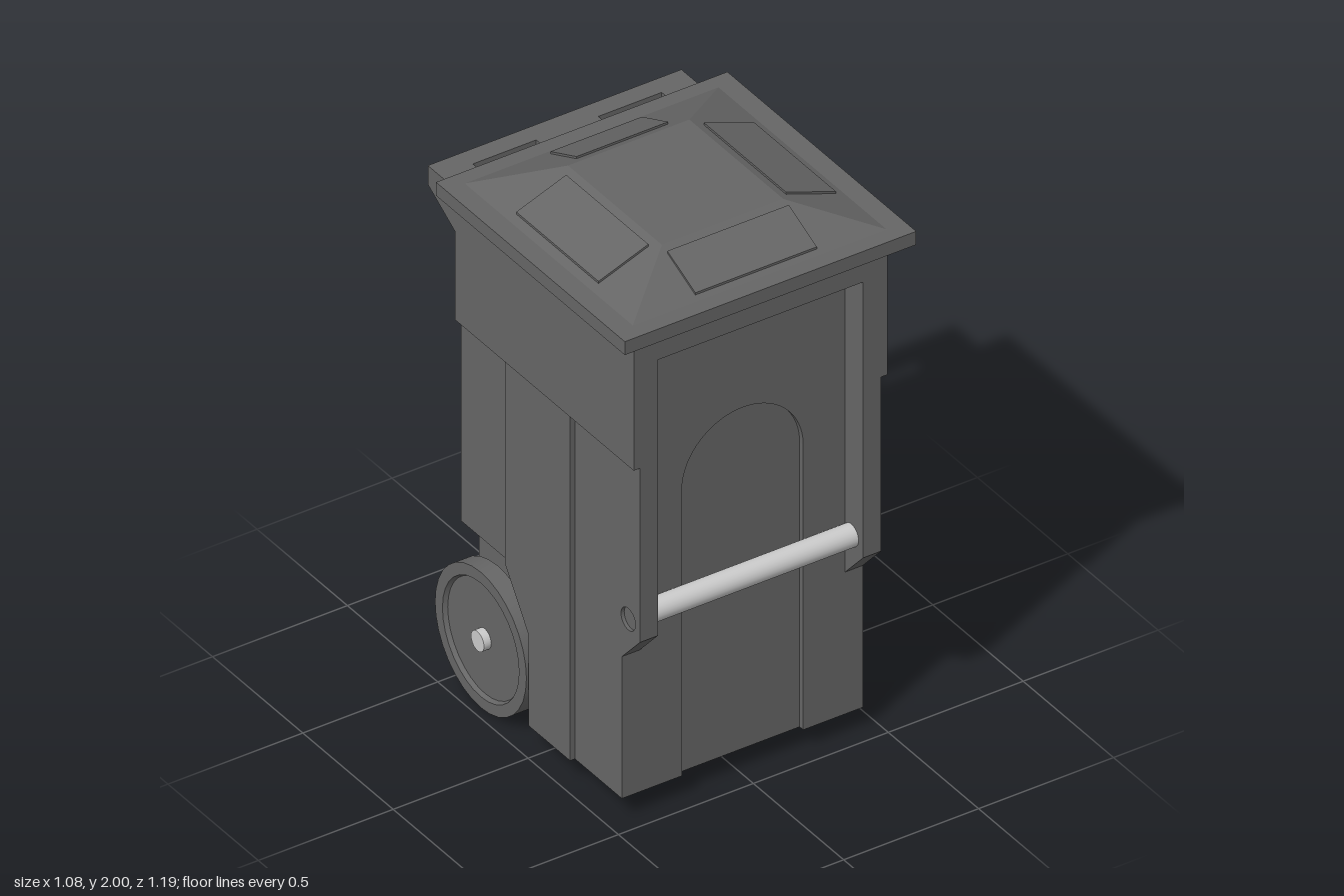
import * as THREE from 'three';
import { toCreasedNormals } from 'three/addons/utils/BufferGeometryUtils.js';

const plastic = new THREE.MeshStandardMaterial({ color: 0x666666 });
const metal = new THREE.MeshStandardMaterial({ color: 0xcccccc });

function add(parent, name, geometry, material = plastic) {
  const mesh = new THREE.Mesh(geometry, material);
  mesh.name = name;
  parent.add(mesh);
  return mesh;
}

const outline = (points) => new THREE.Shape(points.map(([a, b]) => new THREE.Vector2(a, b)));

// Side profile in (z, y), extruded along x from x0 to x1
function sideSlab(shape, x0, x1) {
  const g = new THREE.ExtrudeGeometry(shape, { depth: x1 - x0, bevelEnabled: false, curveSegments: 16 });
  return g.rotateY(-Math.PI / 2).translate(x1, 0, 0);
}

// Front outline in (x, y), extruded along z from z0 to z1
function frontSlab(shape, z0, z1) {
  const g = new THREE.ExtrudeGeometry(shape, { depth: z1 - z0, bevelEnabled: false, curveSegments: 24 });
  return g.translate(0, 0, z0);
}

function box(x0, x1, y0, y1, z0, z1) {
  return new THREE.BoxGeometry(x1 - x0, y1 - y0, z1 - z0)
    .translate((x0 + x1) / 2, (y0 + y1) / 2, (z0 + z1) / 2);
}

function rod(radius, x0, x1, y, z) {
  return new THREE.CylinderGeometry(radius, radius, x1 - x0, 24)
    .rotateZ(Math.PI / 2).translate((x0 + x1) / 2, y, z);
}

// Height of the sloped lid top
const lidHeight = (x, z) =>
  2 - 0.09 * Math.max(0, (Math.abs(x) - 0.225) / 0.245, (z - 0.33) / 0.205, (-0.19 - z) / 0.205);

function buildBody() {
  const body = new THREE.Group();
  body.name = 'body';

  add(body, 'core', sideSlab(outline([
    [0.42, 0.08], [0.42, 1.86], [-0.43, 1.86], [-0.43, 0.18], [-0.05, 0.08],
  ]), -0.38, 0.38));

  // Front plate with an arched recess
  const front = new THREE.Shape();
  front.moveTo(0.225, 0.08);
  front.lineTo(0.447, 0.08);
  front.lineTo(0.447, 0.61);
  front.lineTo(0.38, 0.61);
  front.lineTo(0.38, 1.76);
  front.lineTo(-0.38, 1.76);
  front.lineTo(-0.38, 0.61);
  front.lineTo(-0.447, 0.61);
  front.lineTo(-0.447, 0.08);
  front.lineTo(-0.225, 0.08);
  front.lineTo(-0.225, 1.145);
  front.absarc(0, 1.145, 0.225, Math.PI, 0, true);
  add(body, 'frontPlate', frontSlab(front, 0.42, 0.44));
  add(body, 'frontHeader', box(-0.38, 0.38, 1.75, 1.86, 0.42, 0.54));

  // Back plate with a tapered recess
  add(body, 'backPlate', frontSlab(outline([
    [0.32, 0.18], [0.38, 0.18], [0.38, 0.61], [0.447, 0.61], [0.447, 1.37], [0.47, 1.37], [0.47, 1.86],
    [-0.47, 1.86], [-0.47, 1.37], [-0.447, 1.37], [-0.447, 0.61], [-0.38, 0.61], [-0.38, 0.18], [-0.32, 0.18],
    [-0.2, 1.64], [0.2, 1.64],
  ]), -0.45, -0.43));

  // Side walls: front pillar, wheel well, raised middle strip and upper band
  const wall = [
    [0.43, 0.08], [0.43, 0.61], [0.44, 0.61], [0.54, 0.72], [0.54, 1.86], [-0.44, 1.86],
    [-0.44, 0.61], [-0.18, 0.61], [-0.05, 0.42], [-0.05, 0.08],
  ];
  const socketWall = outline(wall);
  socketWall.holes.push(new THREE.Path().absarc(0.475, 0.77, 0.04, 0, Math.PI * 2, true));
  const strip = outline([
    [0.18, 0.08], [0.18, 1.37], [-0.18, 1.37], [-0.18, 0.61], [-0.05, 0.42], [-0.05, 0.08],
  ]);
  const layers = [
    ['sideWall', outline(wall), 0.38, 0.435],
    ['sideWallOuter', socketWall, 0.435, 0.447],
    ['sideStrip', strip, 0.44, 0.465],
    ['upperBand', outline([[0.54, 1.37], [0.54, 1.86], [-0.44, 1.86], [-0.44, 1.37]]), 0.44, 0.47],
  ];
  for (const [name, shape, a, b] of layers) {
    add(body, name + 'Left', sideSlab(shape, a, b));
    add(body, name + 'Right', sideSlab(shape, -b, -a));
  }

  add(body, 'frontBar', rod(0.04, -0.38, 0.38, 0.77, 0.475), metal);
  return body;
}

function buildLid() {
  const lid = new THREE.Group();
  lid.name = 'lid';
  add(lid, 'rim', box(-0.54, 0.54, 1.86, 1.91, -0.45, 0.595));

  // Hipped top: the upper corners of a box are drawn inward
  const top = box(-0.47, 0.47, 1.9, 2, -0.395, 0.535);
  const p = top.attributes.position;
  for (let i = 0; i < p.count; i++) {
    if (p.getY(i) > 1.95) {
      p.setX(i, Math.sign(p.getX(i)) * 0.225);
      p.setZ(i, p.getZ(i) > 0 ? 0.33 : -0.19);
    } else p.setY(i, 1.91);
  }
  top.computeVertexNormals();
  add(lid, 'hippedTop', top);

  // Thin raised panels that follow the slopes
  const panels = [
    ['frontPanel', -0.225, 0.225, 0.36, 0.515],
    ['backPanel', -0.17, 0.17, -0.37, -0.225],
    ['leftPanel', 0.255, 0.44, -0.155, 0.3],
    ['rightPanel', -0.44, -0.255, -0.155, 0.3],
  ];
  for (const [name, x0, x1, z0, z1] of panels) {
    const g = box(x0, x1, -0.008, 0.008, z0, z1);
    const q = g.attributes.position;
    for (let i = 0; i < q.count; i++) q.setY(i, q.getY(i) + lidHeight(q.getX(i), q.getZ(i)));
    g.computeVertexNormals();
    add(lid, name, g);
  }
  return lid;
}

function buildHandle() {
  const handle = new THREE.Group();
  handle.name = 'handle';
  add(handle, 'grip', sideSlab(outline([
    [-0.53, 1.86], [-0.6, 1.86], [-0.6, 1.79], [-0.53, 1.748],
  ]), -0.47, 0.47));
  const bracket = outline([[-0.45, 1.86], [-0.53, 1.86], [-0.53, 1.748], [-0.45, 1.7]]);
  for (const [a, b] of [[-0.47, -0.35], [-0.115, 0.115], [0.35, 0.47]]) {
    add(handle, 'bracket', sideSlab(bracket, a, b));
  }
  return handle;
}

function buildWheels() {
  const wheels = new THREE.Group();
  wheels.name = 'wheels';
  // Dished wheel, open side facing outward
  const wheel = (w) => toCreasedNormals(new THREE.LatheGeometry([
    [0, 0], [0.253, 0], [0.253, w], [0.212, w], [0.205, w - 0.015], [0, w - 0.015],
  ].map(([r, y]) => new THREE.Vector2(r, y)), 32), 0.5);
  for (const [name, side, x, w] of [['leftWheel', 1, 0.4, 0.052], ['rightWheel', -1, -0.405, 0.063]]) {
    const mesh = add(wheels, name, wheel(w));
    mesh.rotation.z = -side * Math.PI / 2;
    mesh.position.set(x, 0.253, -0.31);
  }
  add(wheels, 'axle', rod(0.036, -0.48, 0.462, 0.253, -0.31), metal);
  return wheels;
}

export function createModel() {
  const model = new THREE.Group();
  model.name = 'wheeledBin';
  model.add(buildBody(), buildLid(), buildHandle(), buildWheels());
  return model;
}
